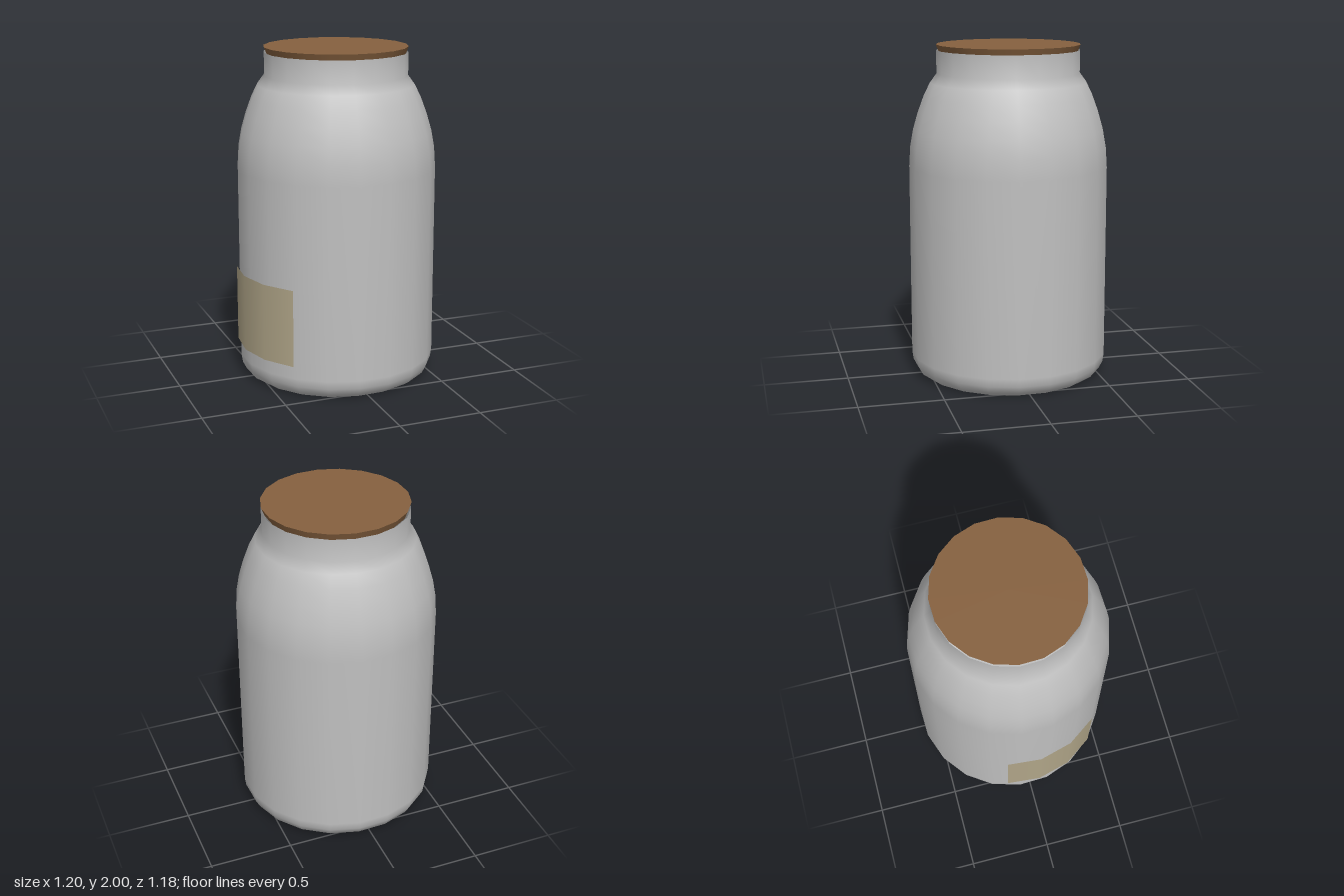
import * as THREE from 'three';

const deg = THREE.MathUtils.degToRad;
const SIDES = 20;
const PHASE = deg(10.8); // turn of the facets around the axis

const glass = new THREE.MeshStandardMaterial({ name: 'grey glass', color: 0xc0c0c0, side: THREE.DoubleSide });
const cork = new THREE.MeshStandardMaterial({ name: 'brown cork', color: 0x86613f });
const paper = new THREE.MeshStandardMaterial({ name: 'tan paper', color: 0xb0a588 });

function part(name, geometry, material, y = 0) {
  const mesh = new THREE.Mesh(geometry, material);
  mesh.name = name;
  mesh.position.y = y;
  return mesh;
}

export function createModel() {
  const jar = new THREE.Group();
  jar.name = 'jar';

  // Body: rounded foot, straight wall, curved shoulder and neck
  const profile = [
    [0.53, 0], [0.567, 0.025], [0.59, 0.07], [0.597, 0.12],
    [0.597, 1.28], [0.589, 1.4], [0.571, 1.5], [0.542, 1.6],
    [0.505, 1.7], [0.468, 1.775], [0.428, 1.83], [0.428, 1.967],
  ].map(([r, y]) => new THREE.Vector2(r, y));
  jar.add(part('jarBody', new THREE.LatheGeometry(profile, SIDES, PHASE), glass));

  // Flat underside
  const base = new THREE.CircleGeometry(0.53, SIDES, deg(7.2));
  base.rotateX(Math.PI / 2);
  jar.add(part('jarBase', base, glass));

  // Cork stopper, slightly narrower below
  jar.add(part('corkLid',
    new THREE.CylinderGeometry(0.43, 0.412, 0.045, SIDES, 1, false, PHASE), cork, 1.9775));

  // Paper label wrapped round the wall
  jar.add(part('label',
    new THREE.CylinderGeometry(0.607, 0.607, 0.465, 3, 1, true, deg(-105), deg(60)), paper, 0.43));

  jar.position.x = 0.005;
  const model = new THREE.Group();
  model.add(jar);
  return model;
}
